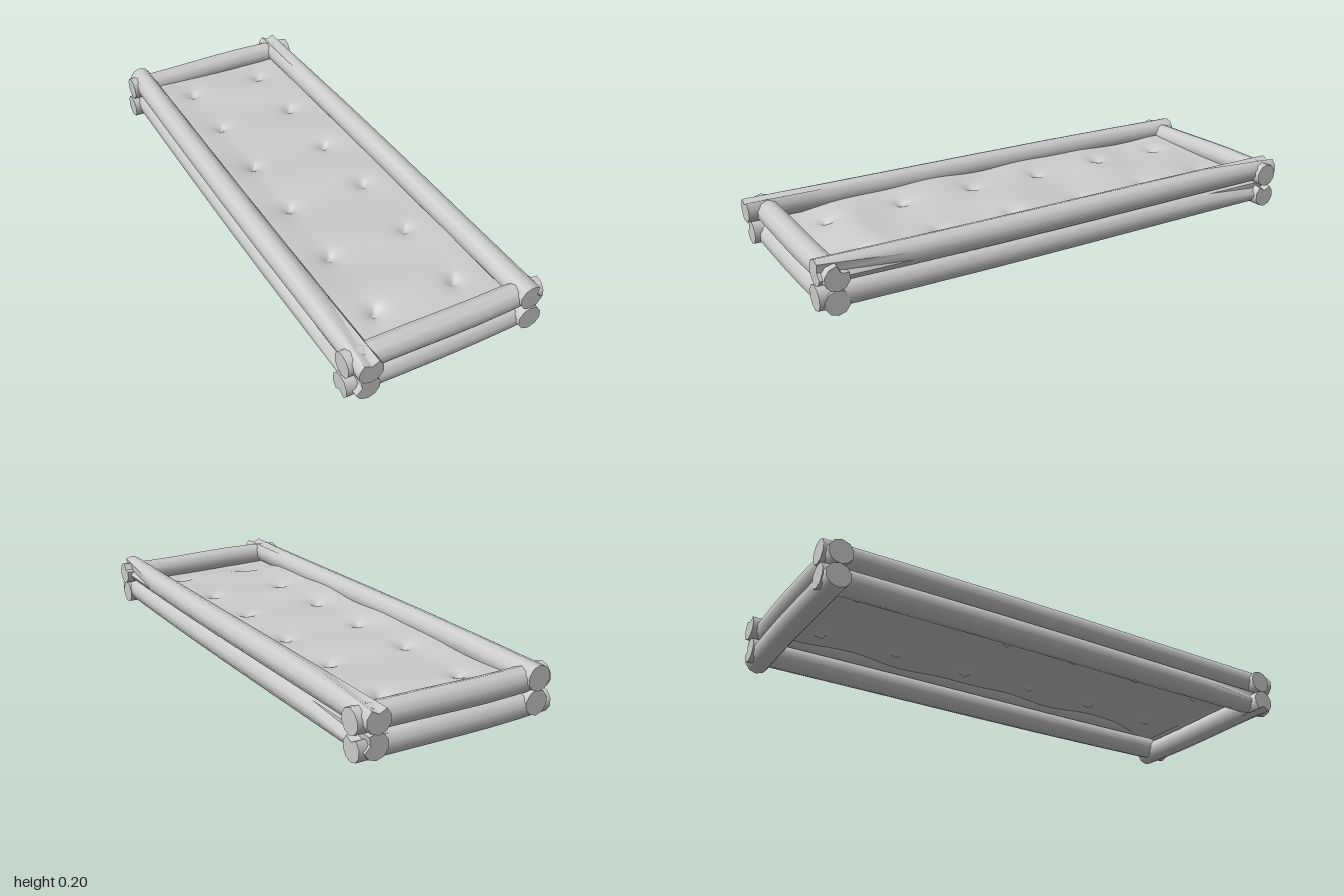
import * as THREE from 'three';
import { toCreasedNormals } from 'three/addons/utils/BufferGeometryUtils.js';

const grey = new THREE.MeshStandardMaterial({ color: 0xcccccc });
const cloth = new THREE.MeshStandardMaterial({ color: 0xcccccc, side: THREE.DoubleSide });
const SIDES = 10, RINGS = 6;

// Log along z from z0 to z1: slightly bowed rings, flat caps, a split (vertex pulled in) at either end.
function logGeometry(z0, z1, r, bow, wave, { startSplit = -1, endSplit = -1 } = {}) {
  const pos = [], idx = [];
  for (let i = 0; i <= RINGS; i++) {
    const t = i / RINGS, swell = Math.sin(Math.PI * t);
    const cx = bow * swell, cy = wave * Math.sin(2 * Math.PI * t);
    for (let j = 0; j < SIDES; j++) {
      const a = ((j + 0.5) / SIDES) * Math.PI * 2;
      const split = (i === 0 && j === startSplit) || (i === RINGS && j === endSplit);
      const rr = split ? r * 0.5 : r * (1 + 0.04 * swell);
      pos.push(cx + rr * Math.cos(a), cy + rr * Math.sin(a), z0 + (z1 - z0) * t);
    }
  }
  const startCentre = pos.length / 3, endCentre = startCentre + 1, last = RINGS * SIDES;
  pos.push(0, 0, z0, 0, 0, z1);
  for (let j = 0; j < SIDES; j++) {
    const k = (j + 1) % SIDES;
    for (let a = 0; a < last; a += SIDES) {
      const b = a + SIDES;
      idx.push(a + j, a + k, b + k, a + j, b + k, b + j);
    }
    idx.push(startCentre, k, j, endCentre, last + j, last + k);
  }
  const g = new THREE.BufferGeometry();
  g.setAttribute('position', new THREE.Float32BufferAttribute(pos, 3));
  g.setIndex(idx);
  return toCreasedNormals(g, 0.8);
}

// Tufted sheet: gentle swells, a sharp dimple at each button, sagging at the front end
function mattressGeometry() {
  const g = new THREE.PlaneGeometry(0.62, 1.86, 48, 144).rotateX(-Math.PI / 2);
  const p = g.attributes.position;
  for (let i = 0; i < p.count; i++) {
    const x = p.getX(i), z = p.getZ(i);
    let y = 0.13 + 0.004 * Math.sin(z * 10 + x * 6) + 0.003 * Math.cos(z * 17 - x * 8);
    y += 0.012 * THREE.MathUtils.smoothstep(-x, 0.15, 0.3) * Math.cos(z * 1.5);
    y -= 0.03 * THREE.MathUtils.smoothstep(z, 0.65, 0.88);
    for (let n = 0; n < 6; n++) {
      for (const bx of [-0.155, 0.165]) {
        const d = Math.hypot(x - bx, z - (-0.78 + n * 0.306));
        y -= 0.035 * Math.exp(-d / 0.022);
      }
    }
    p.setY(i, y);
  }
  g.computeVertexNormals();
  return g;
}

export function createModel() {
  const model = new THREE.Group();
  const add = (name, geometry, material = grey) => {
    const m = new THREE.Mesh(geometry, material);
    m.name = name;
    model.add(m);
    return m;
  };

  // Long side logs: name, x, y, back end, front end, splits
  [
    ['upperRightSideLog', -0.319, 0.149, -0.99, 1.0, { endSplit: 2 }],
    ['upperLeftSideLog', 0.322, 0.149, -1.0, 0.975, { startSplit: 2, endSplit: 0 }],
    ['lowerRightSideLog', -0.319, 0.061, -0.985, 0.985, { endSplit: 4 }],
    ['lowerLeftSideLog', 0.322, 0.061, -0.99, 0.98, { startSplit: 0 }],
  ].forEach(([name, x, y, z0, z1, splits]) => {
    const log = logGeometry(z0, z1, 0.046, Math.sign(x) * 0.006, 0.0015, splits);
    add(name, log).position.set(x, y, 0);
  });

  // Short end logs, turned to run along x: name, y, z, right end, left end, bow, wave, splits
  [
    ['upperFrontLog', 0.136, 0.92, -0.38, 0.38, -0.005, 0.004, { endSplit: 1 }],
    ['upperBackLog', 0.137, -0.935, -0.38, 0.385, 0.008, -0.003, {}],
    ['lowerFrontLog', 0.047, 0.92, -0.385, 0.37, -0.005, 0.002, { startSplit: 7 }],
    ['lowerBackLog', 0.047, -0.938, -0.385, 0.38, 0.006, -0.002, { endSplit: 2 }],
  ].forEach(([name, y, z, x0, x1, bow, wave, splits]) => {
    const m = add(name, logGeometry(x0, x1, 0.045, bow, wave, splits));
    m.position.set(0, y, z);
    m.rotation.y = Math.PI / 2;
  });

  // Tufted mattress held between the logs
  add('mattress', mattressGeometry(), cloth);
  return model;
}
